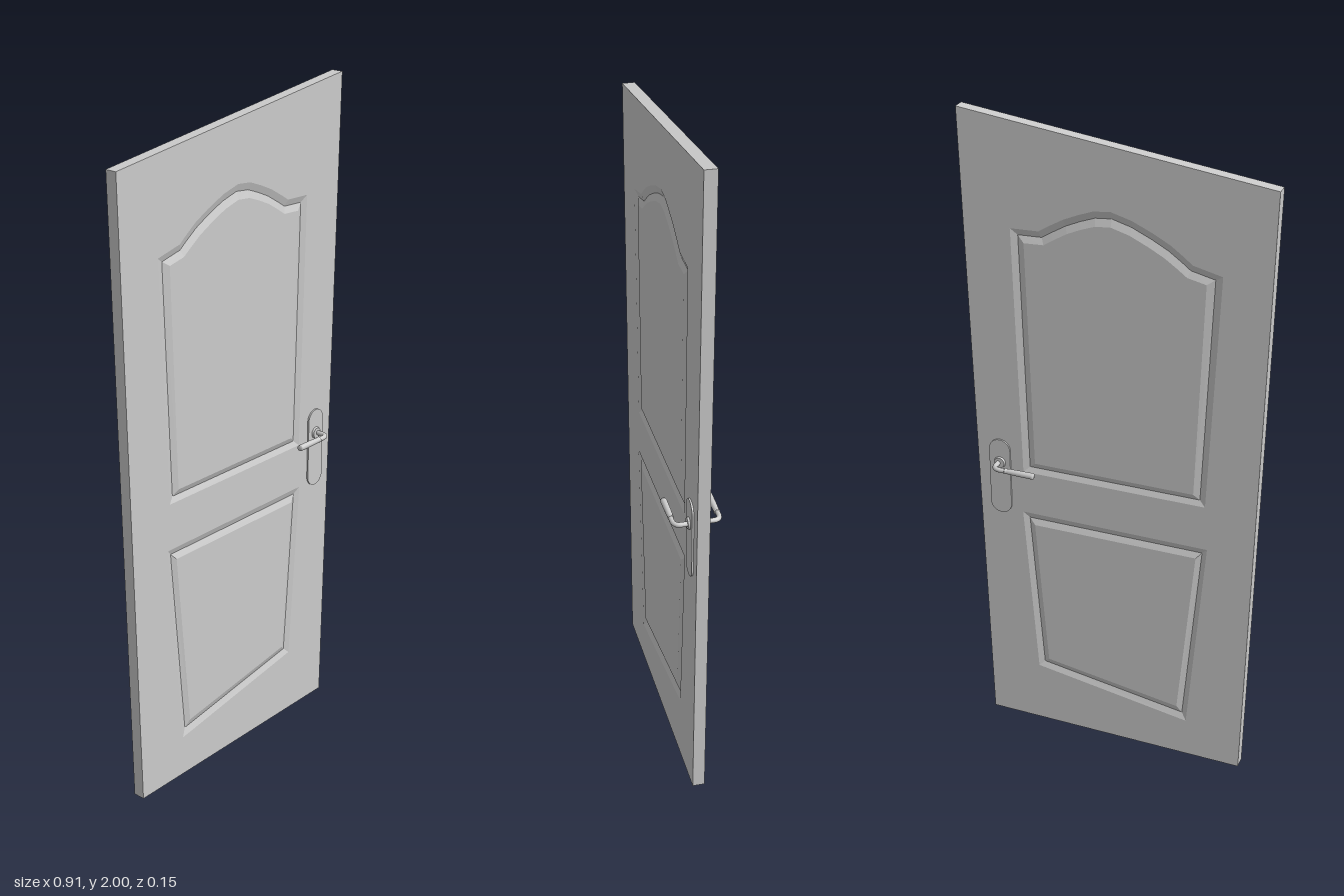
import * as THREE from 'three';

const material = new THREE.MeshStandardMaterial({ color: 0xcccccc });
const flat = new THREE.MeshStandardMaterial({ color: 0xcccccc, flatShading: true });

const HALF = 0.018;            // half the slab thickness
const GROOVE = HALF - 0.007;   // depth level of the panel grooves
const FIELD = HALF + 0.0006;   // raised field inside each groove

function mesh(name, geometry, mat = material) {
  const m = new THREE.Mesh(geometry, mat);
  m.name = name;
  return m;
}

const points = (list) => list.map(([x, y]) => new THREE.Vector2(x, y));

// Corners followed by a smooth arch running from right to left
function archedOutline(corners, arch) {
  return [...points(corners), ...new THREE.SplineCurve(points(arch)).getPoints(10)];
}

// Quad strips joining closed, counterclockwise loops placed at given depths
function loft(loops) {
  const pos = [];
  for (let k = 0; k < loops.length - 1; k++) {
    const [a, za] = loops[k], [b, zb] = loops[k + 1];
    for (let i = 0; i < a.length; i++) {
      const j = (i + 1) % a.length;
      pos.push(a[i].x, a[i].y, za, a[j].x, a[j].y, za, b[j].x, b[j].y, zb);
      pos.push(a[i].x, a[i].y, za, b[j].x, b[j].y, zb, b[i].x, b[i].y, zb);
    }
  }
  const g = new THREE.BufferGeometry();
  g.setAttribute('position', new THREE.Float32BufferAttribute(pos, 3));
  g.computeVertexNormals();
  return g;
}

const doorOutline = points([[-0.408, 0], [0.408, 0.01], [0.452, 2], [-0.455, 1.885]]);

const panels = [
  {
    name: 'upperPanel',
    outer: archedOutline([[-0.31, 1.625], [-0.278, 0.905], [0.285, 0.905], [0.304, 1.672]],
      [[0.22, 1.675], [0.125, 1.73], [0.008, 1.762], [-0.14, 1.705], [-0.225, 1.645]]),
    inner: archedOutline([[-0.265, 1.595], [-0.242, 0.94], [0.247, 0.94], [0.264, 1.634]],
      [[0.205, 1.637], [0.115, 1.69], [0.008, 1.718], [-0.125, 1.665], [-0.21, 1.607]]),
  },
  {
    name: 'lowerPanel',
    outer: points([[-0.288, 0.764], [-0.236, 0.128], [0.25, 0.21], [0.29, 0.766]]),
    inner: points([[-0.254, 0.727], [-0.205, 0.176], [0.216, 0.243], [0.252, 0.727]]),
  },
];

// One decorated face of the door, looking toward +z
function doorFace() {
  const face = new THREE.Group();
  const frame = new THREE.Shape(doorOutline);
  for (const p of panels) frame.holes.push(new THREE.Path(p.outer));
  face.add(mesh('faceFrame', new THREE.ShapeGeometry(frame).translate(0, 0, HALF), flat));

  for (const { name, outer, inner } of panels) {
    const mid = outer.map((p, i) => p.clone().lerp(inner[i], 0.5));
    face.add(mesh(name + 'Groove', loft([[outer, HALF], [mid, GROOVE], [inner, FIELD]]), flat));
    const field = new THREE.ShapeGeometry(new THREE.Shape(inner));
    face.add(mesh(name + 'Field', field.translate(0, 0, FIELD), flat));
  }
  return face;
}

// Lever handle with its long rounded plate
function handle() {
  const g = new THREE.Group();
  const x = 0.358, y = 0.925, reach = 0.066, r = 0.033;

  const plateShape = new THREE.Shape();
  plateShape.absarc(x, 1.0 - r, r, 0, Math.PI, false);
  plateShape.absarc(x, 0.753 + r, r, Math.PI, Math.PI * 2, false);
  const plate = new THREE.ExtrudeGeometry(plateShape, {
    depth: 0.005, bevelEnabled: false, curveSegments: 16,
  });
  g.add(mesh('backPlate', plate.translate(0, 0, HALF), material));

  const collar = new THREE.CylinderGeometry(0.016, 0.018, 0.006, 24);
  g.add(mesh('collar', collar.rotateX(Math.PI / 2).translate(x, y, 0.026)));

  // Shank coming out of the plate and turning toward the hinge side
  const path = new THREE.CurvePath();
  const v = (px, pz) => new THREE.Vector3(px, y, pz);
  const bend = 0.02;
  path.add(new THREE.LineCurve3(v(x + 0.003, HALF), v(x + 0.003, reach - bend)));
  path.add(new THREE.QuadraticBezierCurve3(
    v(x + 0.003, reach - bend), v(x + 0.003, reach), v(x - bend, reach)));
  path.add(new THREE.LineCurve3(v(x - bend, reach), v(0.318, reach)));
  g.add(mesh('shank', new THREE.TubeGeometry(path, 24, 0.0072, 12, false)));

  // Grip turned around its own axis, with a ring at the inner end
  const profile = points([
    [0, 0], [0.0075, 0], [0.009, 0.002], [0.009, 0.005], [0.0075, 0.007],
    [0.0082, 0.01], [0.0092, 0.045], [0.0095, 0.088], [0.0085, 0.092], [0, 0.093],
  ]);
  const grip = new THREE.LatheGeometry(profile, 16).rotateZ(Math.PI / 2);
  g.add(mesh('grip', grip.translate(0.324, y, reach - 0.001)));
  return g;
}

export function createModel() {
  const door = new THREE.Group();
  door.name = 'door';
  door.add(mesh('slabEdge', loft([[doorOutline, -HALF], [doorOutline, HALF]]), flat));

  // Both sides are mirror images through the slab
  for (const [side, sign] of [['front', 1], ['back', -1]]) {
    const face = doorFace();
    face.name = side + 'Face';
    const lever = handle();
    lever.name = side + 'Handle';
    for (const part of [face, lever]) {
      part.scale.z = sign;
      door.add(part);
    }
  }
  return door;
}
